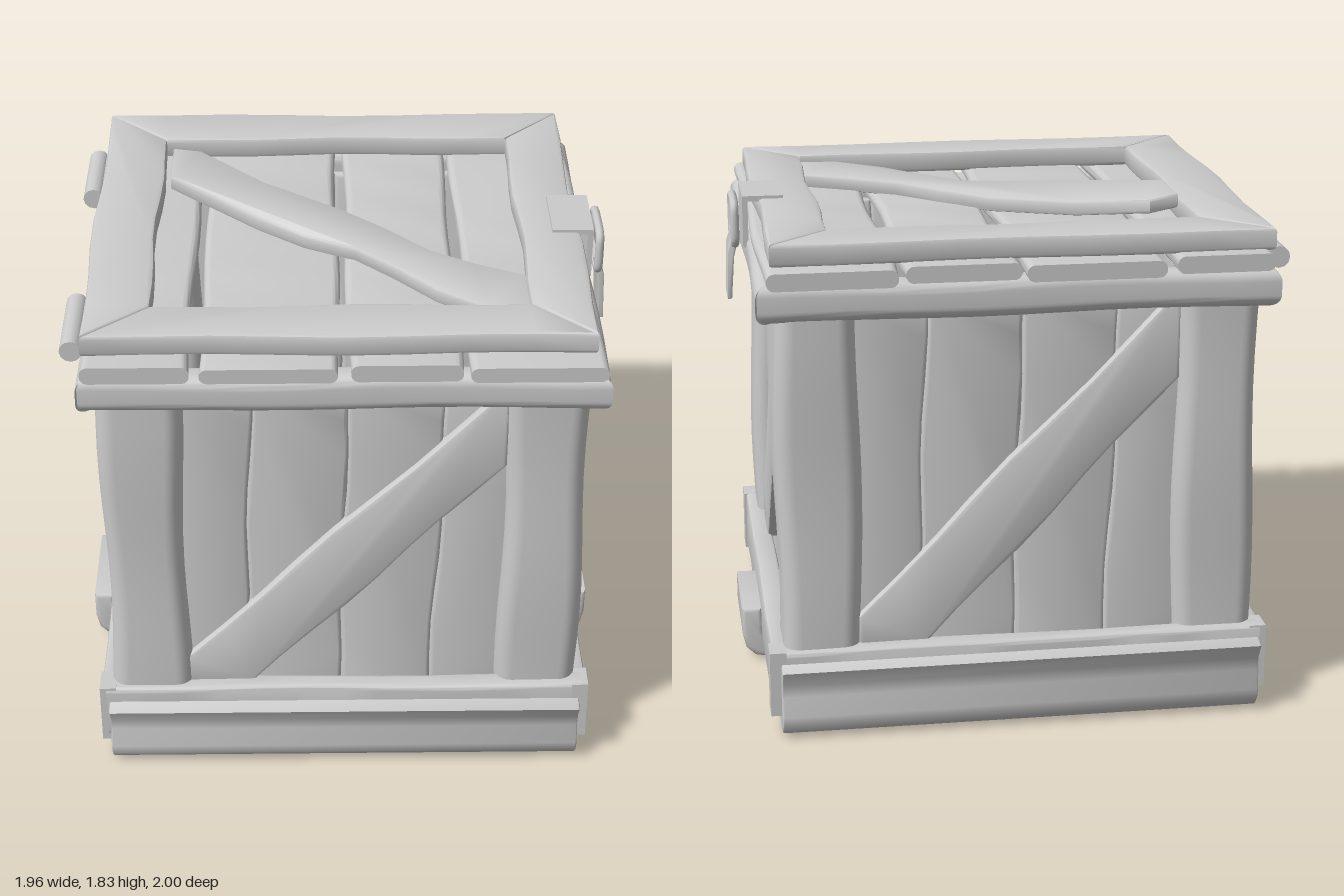
import * as THREE from 'three';
import { toCreasedNormals } from 'three/addons/utils/BufferGeometryUtils.js';

const mat = new THREE.MeshStandardMaterial({ color: 0xcccccc, side: THREE.DoubleSide });

function add(parent, name, geo, x = 0, y = 0, z = 0) {
  const mesh = new THREE.Mesh(geo, mat);
  mesh.name = name;
  mesh.position.set(x, y, z);
  parent.add(mesh);
  return mesh;
}

// Hand-hewn plank along z: rounded section (w by t, corner r), edges waving by amp.
// With mitre on, the ends are cut at 45 degrees, longer on the -x side.
function plank(len, w, t, seed, amp = 0.01, r = 0.02, mitre = false) {
  const s = new THREE.Shape();
  const a = w / 2 - r, b = t / 2 - r;
  s.absarc(a, b, r, 0, Math.PI / 2);
  s.absarc(-a, b, r, Math.PI / 2, Math.PI);
  s.absarc(-a, -b, r, Math.PI, Math.PI * 1.5);
  s.absarc(a, -b, r, Math.PI * 1.5, Math.PI * 2);
  const g = new THREE.ExtrudeGeometry(s, { depth: len, steps: 12, bevelEnabled: false, curveSegments: 4 });
  g.translate(0, 0, -len / 2);
  const p = g.attributes.position;
  for (let i = 0; i < p.count; i++) {
    const x = p.getX(i), y = p.getY(i), z = p.getZ(i);
    p.setX(i, x + amp * Math.sin(z * 5 + seed * 2.3 + (x > 0 ? 2 : 0)));
    p.setY(i, y + amp * 0.6 * Math.sin(z * 6 + seed * 1.7 + (y > 0 ? 1 : 0)));
    if (mitre) p.setZ(i, z * (1 - (2 * x) / len));
  }
  return toCreasedNormals(g, 0.9);
}
const upright = (g) => g.rotateX(-Math.PI / 2);
const across = (g) => g.rotateY(Math.PI / 2);

// Polygon outline extruded to a depth with a small bevel
function board(points, depth, bevel = 0.012) {
  const s = new THREE.Shape(points.map(([x, y]) => new THREE.Vector2(x, y)));
  return new THREE.ExtrudeGeometry(s, {
    depth: depth - 2 * bevel, bevelThickness: bevel, bevelSize: bevel, bevelOffset: -bevel, bevelSegments: 2,
  }).translate(0, 0, bevel);
}

// Straight edge broken into slightly wavy steps, both ends included
function wavyEdge([x0, y0], [x1, y1], seed, amp = 0.01, n = 8) {
  const out = [];
  const l = Math.hypot(x1 - x0, y1 - y0);
  for (let i = 0; i <= n; i++) {
    const t = i / n, o = amp * Math.sin(t * 9 + seed) * Math.sin(Math.PI * t);
    out.push([x0 + (x1 - x0) * t - ((y1 - y0) / l) * o, y0 + (y1 - y0) * t + ((x1 - x0) / l) * o]);
  }
  return out;
}

// One wall with its posts' face at distance d: recessed planks leaning along wavy seams, brace and rim
function wall(d, rimOut, rimLength) {
  const g = new THREE.Group();
  g.name = 'wall';
  const seams = [[-0.6, -0.6], [-0.375, -0.315], [-0.02, 0.015], [0.315, 0.355], [0.6, 0.6]]
    .map(([low, high], i) => wavyEdge([low, 0.1], [high, 1.57], i * 1.9, 0.012, 10));
  for (let i = 0; i < 4; i++) {
    const pts = [...seams[i + 1], ...[...seams[i]].reverse()];
    add(g, 'wallPlank', toCreasedNormals(board(pts, 0.06, 0.014), 0.8), 0, 0, d - 0.117 - (i % 2) * 0.006);
  }
  const brace = [
    ...wavyEdge([-0.34, 0.29], [0.57, 1.25], 1), [0.57, 1.53],
    ...wavyEdge([0.52, 1.53], [-0.58, 0.41], 0), [-0.58, 0.29],
  ];
  add(g, 'wallBrace', toCreasedNormals(board(brace, 0.07, 0.015), 0.7), 0, 0, d - 0.097);
  add(g, 'rim', across(plank(rimLength, 0.11, 0.14, 3, 0.006, 0.045, true)), 0, 1.58, rimOut - 0.055);
  return g;
}

export function createModel() {
  const root = new THREE.Group();
  root.name = 'crate';

  // Walls and corner posts
  for (let i = 0; i < 4; i++) {
    const w = i % 2 ? wall(0.86, 0.912, 1.7) : wall(0.88, 0.902, 1.72);
    w.rotation.y = (i * Math.PI) / 2;
    root.add(w);
  }
  let seed = 0;
  for (const x of [-1, 1]) for (const z of [-1, 1]) {
    add(root, 'cornerPost', upright(plank(1.46, 0.29, 0.3, seed++, 0.009, 0.065)), x * 0.71, 0.83, z * 0.728);
  }

  // Floor planks
  for (let i = 0; i < 5; i++) {
    add(root, 'floorPlank', plank(1.7, 0.325, 0.06, i, 0.006), (i - 2) * 0.335, 0.11, 0);
  }

  // Base skirt with corner brackets
  const low = [[-0.81, 0.08], [-0.55, 0.1], [-0.36, 0.07], [-0.2, 0.1], [0, 0.09], [0.22, 0.1], [0.4, 0.085], [0.6, 0.09], [0.81, 0.08]];
  const high = [[0.81, 0.31], [0.5, 0.295], [0.35, 0.31], [0.1, 0.33], [-0.15, 0.32], [-0.33, 0.3], [-0.5, 0.31], [-0.81, 0.31]];
  for (const s of [-1, 1]) {
    const side = add(root, 'sideSkirt', toCreasedNormals(board([...low, ...high], 0.08), 0.7), s * 0.815, 0, 0);
    side.rotation.y = s * Math.PI / 2;
    add(root, 'endSkirt', across(plank(1.76, 0.08, 0.22, s, 0.004)), 0, 0.2, s * 0.865);
    for (const z of [-1, 1]) {
      add(root, 'cornerBracket', new THREE.BoxGeometry(0.06, 0.24, 0.1), s * 0.873, 0.19, z * 0.855);
    }
  }

  // Curled runners at front and back
  const curl = [[1, 0.27], [0.965, 0.21], [0.955, 0.16], [0.975, 0.09], [0.965, 0.05], [0.935, 0.015], [0.87, 0],
    [0.75, 0.015], [0.63, 0.045], [0.63, 0.08], [0.86, 0.07], [0.91, 0.1], [0.9, 0.17], [0.92, 0.24], [0.95, 0.285]];
  for (const s of [-1, 1]) {
    const g = toCreasedNormals(board(curl, 1.73, 0.006), 0.8).translate(0, 0, -0.865);
    const m = add(root, 'endRunner', g);
    m.rotation.y = -s * Math.PI / 2;
  }

  // Middle runner with upturned ends
  const half = [[0.86, 0], [0.92, 0.012], [0.955, 0.045], [0.968, 0.1], [0.968, 0.205], [0.895, 0.205], [0.89, 0.11], [0.86, 0.07]];
  const sled = [...half, ...half.map(([x, y]) => [-x - 0.01, y]).reverse()];
  add(root, 'middleRunner', toCreasedNormals(board(sled, 0.42, 0.015), 0.9), 0, 0, -0.22);

  // Lid planks
  [[-0.89, -0.53], [-0.495, -0.015], [0.015, 0.405], [0.43, 0.89]].forEach(([a, b], i) => {
    const len = 1.86 + (i % 2) * 0.02;
    add(root, 'lidPlank', plank(len, b - a, 0.06, i * 2, 0.008, 0.028), (a + b) / 2, 1.678, -0.012);
  });

  // Mitred lid frame, drawn as x and -z
  const outer = [[-0.9, -0.84], [0.865, -0.84], [0.865, 0.87], [-0.9, 0.87]];
  const inner = [[-0.67, -0.63], [0.65, -0.63], [0.65, 0.65], [-0.67, 0.65]];
  for (let i = 0; i < 4; i++) {
    const j = (i + 1) % 4;
    const pts = [...wavyEdge(outer[i], outer[j], i * 2, 0.012), ...wavyEdge(inner[j], inner[i], i + 1, 0.012)];
    const g = toCreasedNormals(board(pts, 0.08, 0.014), 0.7).rotateX(-Math.PI / 2);
    add(root, 'lidFrame', g, 0, 1.706, 0);
  }

  // Lid brace, its loose end lifting up
  const lidBrace = [[-0.635, -0.48], [-0.53, -0.49], [-0.29, -0.31], [0, -0.12], [0.16, 0.03], [0.32, 0.2], [0.48, 0.3], [0.66, 0.39],
    [0.66, 0.64], [0.5, 0.62], [0.33, 0.49], [0.18, 0.32], [0.05, 0.19], [-0.14, 0.09], [-0.31, -0.016], [-0.635, -0.24]];
  const bg = board(lidBrace.map(([x, z]) => [x, -z]), 0.055, 0.01).rotateX(-Math.PI / 2);
  const bp = bg.attributes.position;
  for (let i = 0; i < bp.count; i++) bp.setY(i, bp.getY(i) + Math.max(0, -bp.getX(i) - 0.2) * 0.17);
  add(root, 'lidBrace', toCreasedNormals(bg, 0.7), 0, 1.705, 0);

  // Hinge barrels
  for (const z of [-0.58, 0.545]) {
    const barrel = new THREE.CylinderGeometry(0.04, 0.04, 0.335, 12).rotateX(Math.PI / 2);
    add(root, 'hingeBarrel', barrel, -0.945, 1.65, z);
    add(root, 'hingeLeaf', new THREE.BoxGeometry(0.05, 0.04, 0.335), -0.9, 1.655, z);
  }

  // Latch: plate over the lid edge, loop and hanging tongue
  const latch = new THREE.Group();
  latch.name = 'latch';
  latch.position.z = -0.007;
  root.add(latch);
  add(latch, 'latchTopPlate', new THREE.BoxGeometry(0.15, 0.02, 0.27), 0.842, 1.787, 0);
  add(latch, 'latchFrontPlate', new THREE.BoxGeometry(0.02, 0.19, 0.27), 0.907, 1.7, 0);
  const soften = (v) => Math.sign(v) * Math.abs(v) ** 0.4;
  const ring = [];
  for (let i = 0; i < 24; i++) {
    const a = ((i + 0.5) / 24) * Math.PI * 2;
    ring.push(new THREE.Vector3(0.945, 1.685 + 0.08 * soften(Math.sin(a)), 0.112 * soften(Math.cos(a))));
  }
  const loop = new THREE.CatmullRomCurve3(ring, true, 'centripetal');
  add(latch, 'latchLoop', new THREE.TubeGeometry(loop, 64, 0.016, 8, true));
  const tongue = [[0.925, 1.66], [0.945, 1.66], [0.972, 1.58], [0.978, 1.4], [0.962, 1.4], [0.95, 1.56]];
  add(latch, 'latchTongue', toCreasedNormals(board(tongue, 0.18, 0.003), 0.6), 0, 0, -0.09);
  return root;
}
